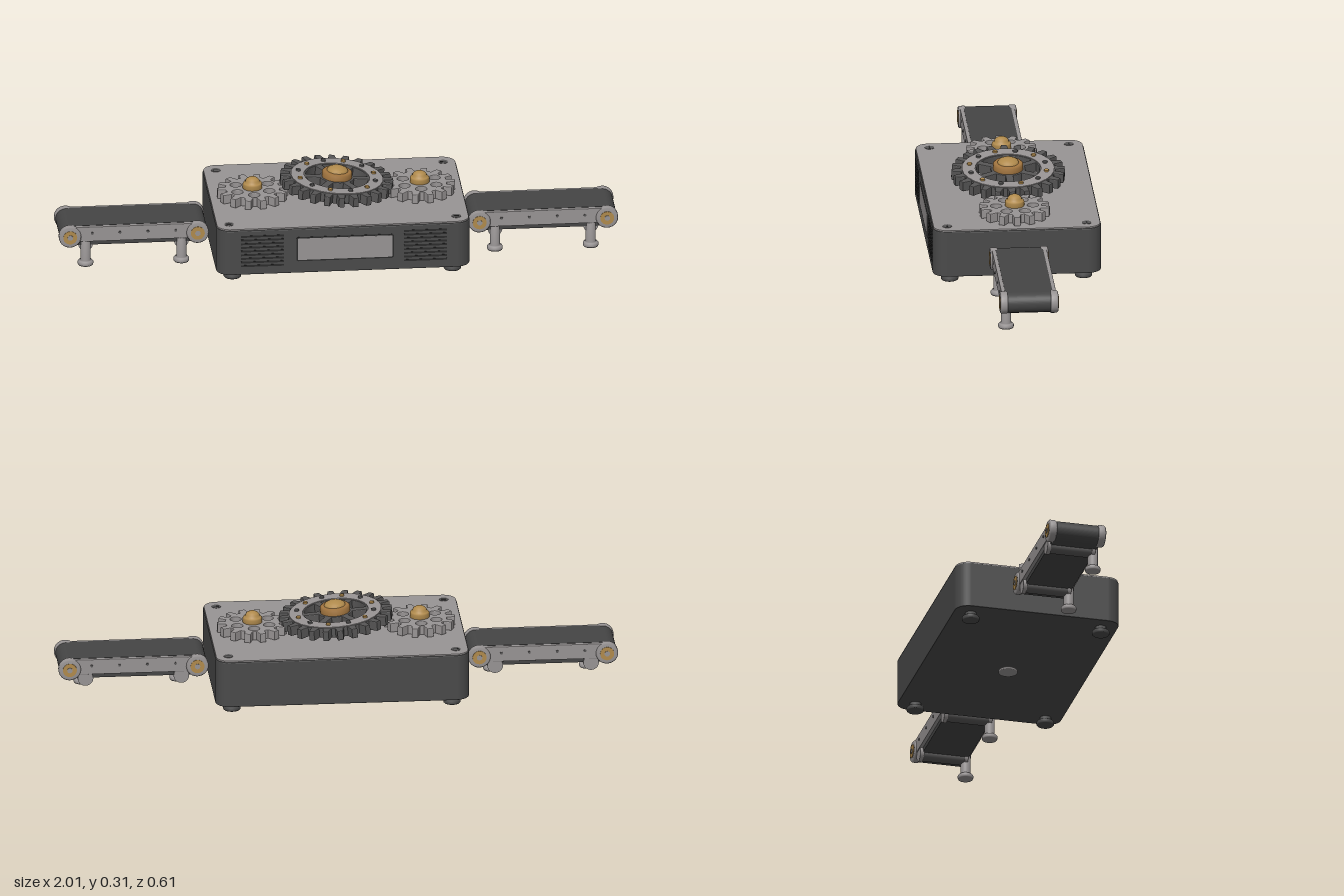
import * as THREE from 'three';

const mat = (name, color) => Object.assign(new THREE.MeshStandardMaterial({ color }), { name });
const M = {
  body: mat('charcoal casing', 0x4a4a4a),
  plate: mat('grey metal', 0x989494),
  gear: mat('dark steel', 0x575656),
  belt: mat('belt rubber', 0x454545),
  brass: mat('brass', 0xb08a4c),
  copper: mat('bronze', 0xa2753f),
  dark: mat('vent black', 0x2a2a2a),
};

function add(parent, name, geometry, material, x = 0, y = 0, z = 0) {
  const mesh = new THREE.Mesh(geometry, material);
  mesh.name = name;
  mesh.position.set(x, y, z);
  parent.add(mesh);
  return mesh;
}

// Rounded rectangle centred on the origin
function roundRect(w, h, r) {
  const s = new THREE.Shape(), a = w / 2 - r, b = h / 2 - r;
  s.absarc(a, b, r, 0, Math.PI / 2);
  s.absarc(-a, b, r, Math.PI / 2, Math.PI);
  s.absarc(-a, -b, r, Math.PI, Math.PI * 1.5);
  s.absarc(a, -b, r, Math.PI * 1.5, Math.PI * 2);
  s.closePath();
  return s;
}

const extrude = (shape, depth, bevel = 0) => new THREE.ExtrudeGeometry(shape, {
  depth: depth - 2 * bevel, curveSegments: 14, bevelEnabled: bevel > 0,
  bevelSize: bevel, bevelOffset: -bevel, bevelThickness: bevel, bevelSegments: 2,
}).translate(0, 0, bevel);

// Extrusion standing upward from y = 0
const slab = (shape, h, bevel) => extrude(shape, h, bevel).rotateX(-Math.PI / 2);

const lathe = (points) => new THREE.LatheGeometry(points.map((p) => new THREE.Vector2(...p)), 28);

// Short cylinder lying along z
const disc = (r, h, sides) => new THREE.CylinderGeometry(r, r, h, sides).rotateX(Math.PI / 2);

function gearShape(teeth, root, tip) {
  const pts = [], step = Math.PI * 2 / teeth;
  for (let i = 0; i < teeth; i++) {
    for (const [t, r] of [[-0.34, root], [-0.19, tip], [0.19, tip], [0.34, root]]) {
      const a = (i + t) * step;
      pts.push(new THREE.Vector2(r * Math.cos(a), r * Math.sin(a)));
    }
  }
  return new THREE.Shape(pts);
}

function sideGear(x) {
  const g = new THREE.Group();
  g.name = 'sideGear';
  g.position.set(x, 0.206, 0);
  const shape = gearShape(14, 0.098, 0.127);
  for (let i = 0; i < 6; i++) {
    const a = (i + 0.5) * Math.PI / 3;
    const hole = new THREE.Path();
    hole.absarc(0.066 * Math.cos(a), 0.066 * Math.sin(a), 0.02, 0, Math.PI * 2, true);
    shape.holes.push(hole);
  }
  add(g, 'gearWheel', slab(shape, 0.034, 0.003), M.plate);
  add(g, 'gearHub', lathe([[0, 0], [0.035, 0], [0.035, 0.049], [0.032, 0.054], [0.026, 0.056],
    [0.025, 0.063], [0.02, 0.069], [0.011, 0.074], [0, 0.075]]), M.brass);
  return g;
}

function centreGear() {
  const g = new THREE.Group();
  g.name = 'centreGear';
  g.position.set(0, 0.235, 0);
  g.rotation.z = -0.08;
  const shape = gearShape(24, 0.17, 0.203);
  // Six windows leave spokes between them
  for (let i = 0; i < 6; i++) {
    const a = i * Math.PI / 3 + Math.PI / 6, hole = new THREE.Path();
    hole.absarc(0, 0, 0.112, a - 0.4, a + 0.4, false);
    hole.absarc(0, 0, 0.062, a + 0.3, a - 0.3, true);
    hole.closePath();
    shape.holes.push(hole);
  }
  add(g, 'gearWheel', slab(shape, 0.036, 0.003), M.gear);
  // Light ring face on top
  const rim = new THREE.Shape();
  rim.absarc(0, 0, 0.166, 0, Math.PI * 2);
  const inner = new THREE.Path();
  inner.absarc(0, 0, 0.118, 0, Math.PI * 2, true);
  rim.holes.push(inner);
  add(g, 'gearRingFace', slab(rim, 0.003), M.plate, 0, 0.0355, 0);
  for (let i = 0; i < 12; i++) {
    const a = (i + 0.5) * Math.PI / 6;
    add(g, 'ringBolt', new THREE.CylinderGeometry(0.009, 0.009, 0.009, 6), i % 2 ? M.brass : M.gear,
      0.14 * Math.cos(a), 0.04, 0.14 * Math.sin(a));
  }
  // Bronze hub with a brass cap
  add(g, 'gearHub', lathe([[0, 0], [0.05, 0], [0.054, 0.035], [0.054, 0.055], [0.048, 0.06],
    [0, 0.06]]), M.copper);
  add(g, 'hubCap', lathe([[0.038, 0.058], [0.038, 0.061], [0.034, 0.068], [0.02, 0.075],
    [0, 0.078]]), M.brass);
  return g;
}

// Conveyor on the +x or -x side
function conveyor(side) {
  const g = new THREE.Group();
  g.name = side > 0 ? 'leftConveyor' : 'rightConveyor';
  g.position.set(side * 0.735, 0, 0);
  const cy = 0.115;
  add(g, 'belt', extrude(roundRect(0.53, 0.074, 0.0369), 0.17), M.belt, 0, cy, -0.085);
  for (const s of [1, -1]) {
    add(g, 'rail', extrude(roundRect(0.47, 0.056, 0.006), 0.016, 0.002), M.plate, 0, 0.123, s * 0.09 - 0.008);
    for (const x of [-0.229, 0.229]) {
      const cap = lathe([[0, -0.014], [0.035, -0.014], [0.04, -0.009], [0.04, 0.009],
        [0.036, 0.014], [0, 0.014]]).rotateX(Math.PI / 2);
      add(g, 'rollerHousing', cap, M.plate, x, cy, s * 0.09);
      add(g, 'rollerCap', disc(0.025, 0.004, 24), M.brass, x, cy, s * 0.104);
      add(g, 'rollerPin', disc(0.01, 0.003, 12), M.plate, x, cy, s * 0.106);
    }
    for (const x of [-0.15, -0.05, 0.05, 0.15]) {
      add(g, 'railBolt', disc(0.005, 0.004, 8), M.gear, x, 0.127, s * 0.099);
    }
  }
  // Standing front legs, and dark cross bars ending in flanges
  for (const x of [-0.172, 0.172]) {
    add(g, 'leg', lathe([[0, 0], [0.026, 0], [0.028, 0.004], [0.028, 0.012], [0.024, 0.017],
      [0.018, 0.019], [0.018, 0.1], [0, 0.1]]), M.plate, x, 0, 0.078);
    add(g, 'crossBar', disc(0.022, 0.16, 20), M.gear, x, 0.077, -0.008);
    add(g, 'frontFlange', disc(0.026, 0.012, 24), M.plate, x, 0.079, 0.076);
    add(g, 'backFlange', disc(0.028, 0.014, 24), M.plate, x, 0.079, -0.088);
  }
  return g;
}

export function createModel() {
  const model = new THREE.Group();
  model.name = 'gearMachine';

  // Casing and lid
  add(model, 'casing', slab(roundRect(0.91, 0.604, 0.05), 0.171, 0.004), M.body, 0, 0.03, 0);
  add(model, 'topPlate', slab(roundRect(0.904, 0.598, 0.047), 0.006, 0.001), M.plate, 0, 0.2, 0);

  // Corner screws and feet
  for (const x of [-1, 1]) {
    for (const z of [-1, 1]) {
      add(model, 'screw', new THREE.CylinderGeometry(0.017, 0.017, 0.003, 16), M.gear, x * 0.408, 0.206, z * 0.25);
      add(model, 'screwSlot', new THREE.BoxGeometry(0.02, 0.001, 0.005), M.dark, x * 0.408, 0.2078, z * 0.25);
      add(model, 'foot', lathe([[0, 0], [0.028, 0], [0.031, 0.003], [0.031, 0.013], [0.027, 0.017],
        [0.02, 0.018], [0.02, 0.032], [0, 0.032]]), M.body, x * 0.395, 0, z * 0.24);
    }
  }
  add(model, 'baseDisc', lathe([[0, 0.001], [0.033, 0.001], [0.035, 0.004], [0.035, 0.008],
    [0.032, 0.011], [0, 0.011]]), M.plate);

  // Front display and vents
  add(model, 'displayFrame', extrude(roundRect(0.35, 0.093, 0.008), 0.003), M.dark, 0.004, 0.122, 0.2998);
  add(model, 'display', extrude(roundRect(0.34, 0.083, 0.004), 0.003), M.plate, 0.004, 0.122, 0.3006);
  for (const s of [-1, 1]) {
    for (let i = 0; i < 9; i++) {
      add(model, 'ventSlot', new THREE.BoxGeometry(0.155, 0.007, 0.004), M.dark, s * 0.293, 0.064 + i * 0.0142, 0.3008);
    }
  }

  model.add(sideGear(-0.3), sideGear(0.3), centreGear(), conveyor(1), conveyor(-1));
  return model;
}
